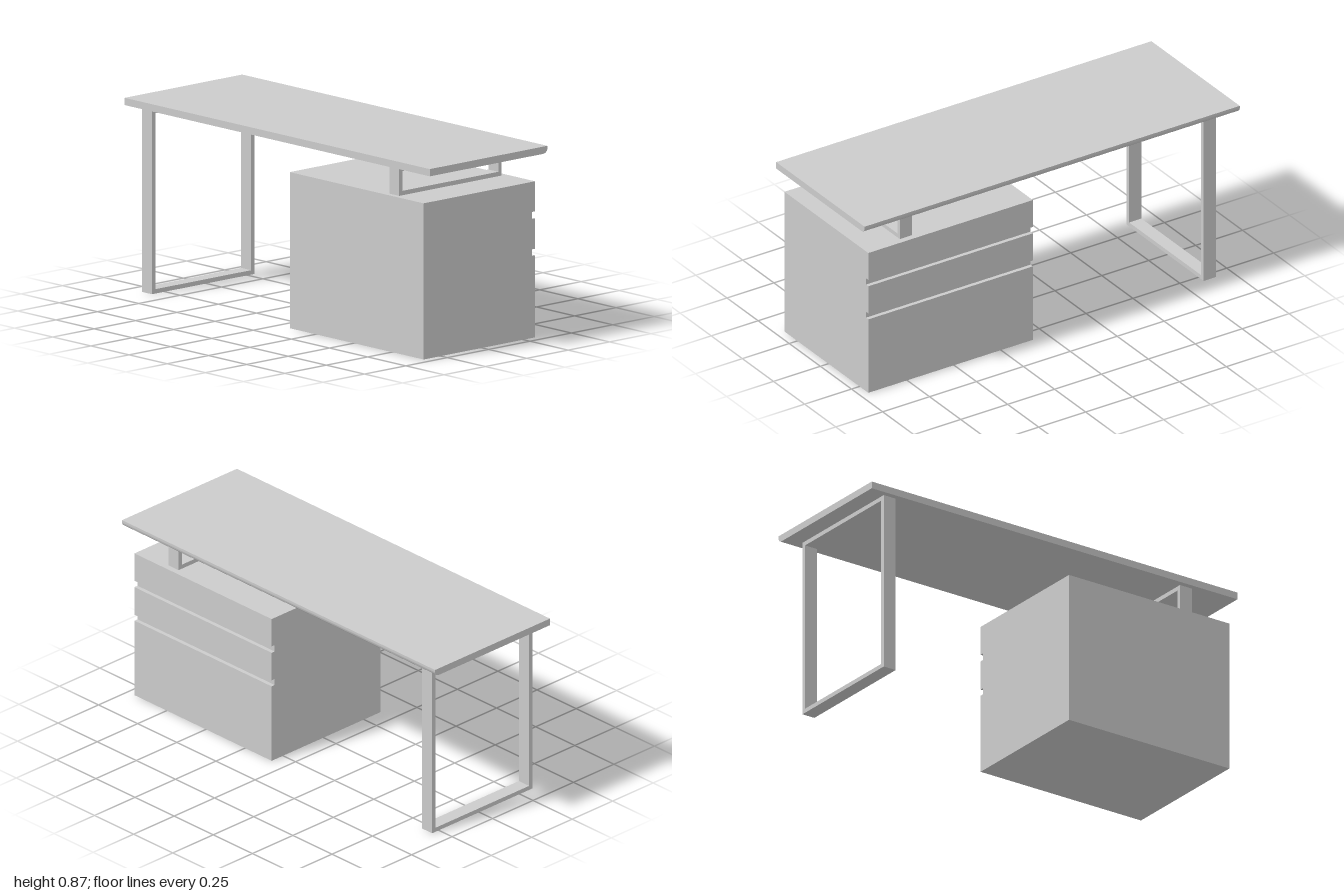
import * as THREE from 'three';
import { toCreasedNormals } from 'three/addons/utils/BufferGeometryUtils.js';

const material = new THREE.MeshStandardMaterial({ color: 0xcccccc });

// Side profile drawn in (-z, y), extruded along x from x0 to x1
function extrudeAlongX(name, shape, x0, x1) {
  const geo = new THREE.ExtrudeGeometry(shape, { depth: x1 - x0, bevelEnabled: false, curveSegments: 10 });
  geo.rotateY(Math.PI / 2).translate(x0, 0, 0);
  const mesh = new THREE.Mesh(toCreasedNormals(geo, 0.5), material);
  mesh.name = name;
  return mesh;
}

function rectPoints(a0, b0, a1, b1) {
  return [[a0, b0], [a1, b0], [a1, b1], [a0, b1]].map(([a, b]) => new THREE.Vector2(a, b));
}

// Rectangular loop of flat bar
function loopFrame(name, x0, x1, y0, y1) {
  const t = 0.02;
  const shape = new THREE.Shape(rectPoints(-0.328, y0, 0.291, y1));
  shape.holes.push(new THREE.Path(rectPoints(-0.328 + t, y0 + t, 0.291 - t, y1 - t)));
  return extrudeAlongX(name, shape, x0, x1);
}

export function createModel() {
  const desk = new THREE.Group();
  desk.name = 'desk';

  // Top slab, lower edge rounded on the drawer side
  const top = new THREE.Shape();
  top.moveTo(-0.355, 0.84);
  top.lineTo(0.33, 0.84);
  top.bezierCurveTo(0.344, 0.84, 0.355, 0.85, 0.355, 0.863);
  top.lineTo(0.355, 0.873);
  top.lineTo(-0.355, 0.873);
  top.closePath();
  desk.add(extrudeAlongX('deskTop', top, -1, 1));

  // Tall leg frame and the short riser on the cabinet
  desk.add(loopFrame('legFrame', -0.915, -0.85, 0, 0.84));
  desk.add(loopFrame('riserFrame', 0.705, 0.77, 0.71, 0.84));

  // Cabinet with finger grooves between three drawer fronts
  const front = 0.32, groove = 0.301;
  const cabinet = new THREE.Shape();
  cabinet.moveTo(-0.353, 0);
  cabinet.lineTo(front, 0);
  for (const [y0, y1] of [[0.373, 0.403], [0.541, 0.573]]) {
    cabinet.lineTo(front, y0);
    cabinet.lineTo(groove, y0);
    cabinet.lineTo(groove, y1);
    cabinet.lineTo(front, y1);
  }
  cabinet.lineTo(front, 0.71);
  cabinet.lineTo(-0.353, 0.71);
  cabinet.closePath();
  desk.add(extrudeAlongX('drawerCabinet', cabinet, 0.08, 0.957));

  return desk;
}
